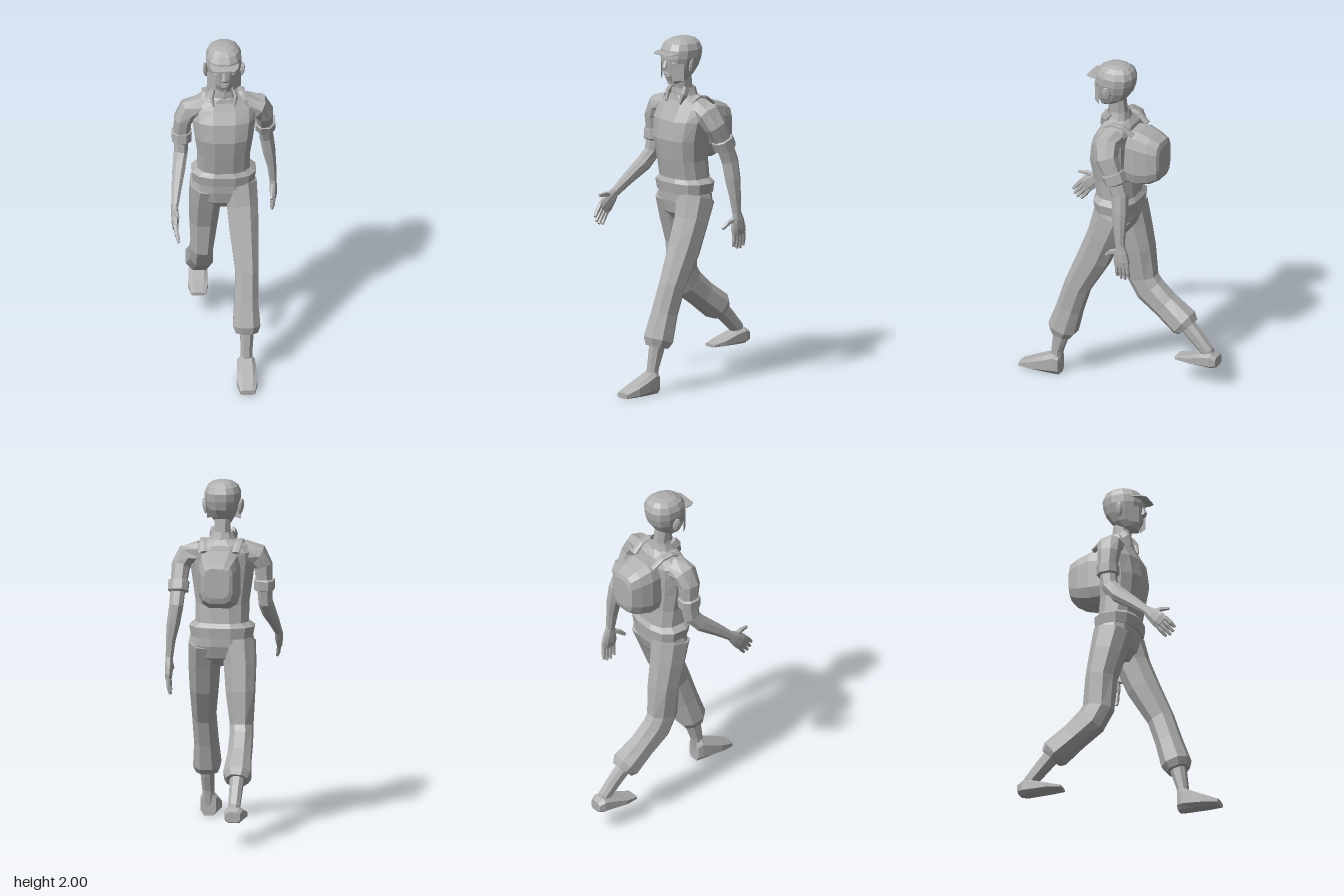
import * as THREE from 'three';

const grey = new THREE.MeshStandardMaterial({ color: 0xb0b0b0, side: THREE.DoubleSide });
grey.name = 'plain grey';
const V = (x, y, z) => new THREE.Vector3(x, y, z);
const UP = V(0, 1, 0), FRONT = V(0, 0, 1);

// Faceted mesh from any geometry
function part(name, geo) {
  const g = geo.index ? geo.toNonIndexed() : geo;
  g.computeVertexNormals();
  const m = new THREE.Mesh(g, grey);
  m.name = name;
  return m;
}

// Skin over rings [x, y, z, halfWidth, halfDepth]; rings follow the path unless an axis is fixed.
// A power below 1 makes the rings squarer.
function loft(name, rings, { n = 8, axis = null, power = 0.85, caps = true } = {}) {
  const pos = [], idx = [], pts = rings.map(r => V(r[0], r[1], r[2])), last = rings.length - 1;
  const fit = Math.cos(Math.PI / n) ** power;
  const bend = v => Math.sign(v) * Math.abs(v) ** power / fit;
  rings.forEach((r, i) => {
    const t = axis ? axis.clone()
      : pts[Math.min(i + 1, last)].clone().sub(pts[Math.max(i - 1, 0)]).normalize();
    const s = V(1, 0, 0).addScaledVector(t, -t.x).normalize();
    const f = s.clone().cross(t);
    for (let j = 0; j < n; j++) {
      const a = (j + 0.5) * 2 * Math.PI / n;
      const p = pts[i].clone().addScaledVector(s, r[3] * bend(Math.cos(a)))
        .addScaledVector(f, r[4] * bend(Math.sin(a)));
      pos.push(p.x, p.y, p.z);
    }
  });
  for (let i = 0; i < last; i++) for (let j = 0; j < n; j++) {
    const a = i * n + j, b = i * n + (j + 1) % n;
    idx.push(a, a + n, b, b, a + n, b + n);
  }
  if (caps) for (let j = 1; j < n - 1; j++) {
    const e = last * n;
    idx.push(0, j, j + 1, e, e + j + 1, e + j);
  }
  const g = new THREE.BufferGeometry();
  g.setAttribute('position', new THREE.Float32BufferAttribute(pos, 3));
  g.setIndex(idx);
  return part(name, g);
}

function blob(name, x, y, z, sx, sy, sz) {
  const g = new THREE.SphereGeometry(1, 8, 6);
  g.scale(sx, sy, sz);
  g.translate(x, y, z);
  return part(name, g);
}

// Flat hand: palm, four fingers and a thumb, laid out along a direction from the wrist
function hand(name, wrist, dir, shift, curl) {
  const group = new THREE.Group();
  group.name = name;
  const t = dir.clone().normalize(), f = V(1, 0, 0).cross(t);
  const at = (along, across, out, a, b) => {
    const p = wrist.clone().addScaledVector(t, along).addScaledVector(f, across);
    return [p.x + out, p.y, p.z, a, b];
  };
  group.add(loft('palm', [at(-0.01, 0, 0, 0.018, 0.024), at(0.04, shift * 0.4, 0, 0.021, 0.038),
    at(0.09, shift * 0.8, 0, 0.02, 0.046), at(0.125, shift, 0, 0.015, 0.042)]));
  for (let k = 0; k < 4; k++) {
    const o = (k - 1.5) * 0.021, len = [0.19, 0.205, 0.207, 0.195][k];
    group.add(loft('finger', [at(0.11, shift + o, 0, 0.012, 0.012),
      at(0.16, shift + o * 1.1, curl * 0.4, 0.011, 0.011),
      at(len, shift + o * 1.15, curl, 0.007, 0.007)], { n: 6 }));
  }
  group.add(loft('thumb', [at(0.03, -0.015, 0, 0.014, 0.016), at(0.045, -0.06, curl * 0.5, 0.012, 0.013),
    at(0.075, -0.1, curl, 0.007, 0.008)], { n: 6 }));
  return group;
}

export function createModel() {
  const model = new THREE.Group();
  model.name = 'walkingFigure';
  const add = (...m) => model.add(...m);

  // Shirt with a flared hem, and the hips below it
  add(loft('shirt', [
    [0, 1.11, -0.005, 0.172, 0.12], [0, 1.17, -0.003, 0.183, 0.127], [0, 1.195, 0, 0.148, 0.113],
    [0, 1.3, 0.015, 0.148, 0.118], [0, 1.42, 0.025, 0.165, 0.127], [0, 1.53, 0.015, 0.18, 0.12],
    [0, 1.6, -0.005, 0.18, 0.1], [0, 1.64, -0.01, 0.14, 0.085], [0, 1.665, 0, 0.08, 0.07],
    [0, 1.68, 0, 0.055, 0.055]], { n: 12, axis: UP, power: 0.8 }));
  add(loft('hips', [[0, 0.94, 0, 0.07, 0.05], [0, 0.99, 0, 0.155, 0.09],
    [0, 1.06, -0.005, 0.185, 0.108], [0, 1.15, -0.005, 0.162, 0.11]], { n: 12, axis: UP }));

  // Trouser legs: left strides forward, right trails behind
  add(loft('leftTrouserLeg', [
    [0.092, 1.08, -0.005, 0.095, 0.105], [0.105, 0.95, 0.04, 0.088, 0.092], [0.113, 0.8, 0.1, 0.08, 0.09],
    [0.125, 0.6, 0.2, 0.065, 0.073], [0.12, 0.45, 0.25, 0.066, 0.073],
    [0.12, 0.305, 0.295, 0.077, 0.081], [0.12, 0.265, 0.305, 0.062, 0.062]]));
  add(loft('rightTrouserLeg', [
    [-0.092, 1.08, -0.005, 0.095, 0.105], [-0.105, 0.95, -0.035, 0.088, 0.095],
    [-0.112, 0.8, -0.07, 0.08, 0.084], [-0.12, 0.61, -0.085, 0.063, 0.086],
    [-0.123, 0.535, -0.13, 0.064, 0.086], [-0.125, 0.455, -0.23, 0.066, 0.077],
    [-0.125, 0.37, -0.345, 0.077, 0.08], [-0.125, 0.345, -0.37, 0.06, 0.062]]));

  // Shins and feet
  add(loft('leftShin', [[0.122, 0.32, 0.295, 0.042, 0.045], [0.12, 0.24, 0.312, 0.037, 0.042],
    [0.118, 0.15, 0.333, 0.033, 0.032], [0.117, 0.06, 0.345, 0.03, 0.03]]));
  add(loft('rightShin', [[-0.128, 0.4, -0.32, 0.042, 0.045], [-0.126, 0.3, -0.42, 0.036, 0.042],
    [-0.125, 0.22, -0.495, 0.033, 0.036], [-0.125, 0.17, -0.515, 0.03, 0.03]]));
  add(loft('leftFoot', [[0.115, 0.06, 0.315, 0.042, 0.06], [0.115, 0.067, 0.345, 0.05, 0.067],
    [0.116, 0.053, 0.4, 0.055, 0.053], [0.117, 0.034, 0.48, 0.058, 0.034],
    [0.117, 0.016, 0.56, 0.042, 0.016]], { axis: FRONT, power: 0.6 }));
  add(loft('rightFoot', [[-0.125, 0.172, -0.56, 0.04, 0.03], [-0.125, 0.178, -0.525, 0.052, 0.046],
    [-0.127, 0.17, -0.46, 0.054, 0.038], [-0.13, 0.156, -0.38, 0.057, 0.022],
    [-0.13, 0.144, -0.3, 0.04, 0.01]], { axis: FRONT, power: 0.6 }));

  // Sleeves, rolled cuffs, forearms and hands: left swings back, right swings forward
  add(loft('leftSleeve', [[0.12, 1.59, -0.015, 0.06, 0.07], [0.2, 1.57, -0.015, 0.06, 0.072],
    [0.232, 1.51, -0.035, 0.05, 0.062], [0.238, 1.42, -0.08, 0.044, 0.05]]));
  add(loft('leftCuff', [[0.238, 1.435, -0.075, 0.05, 0.052], [0.238, 1.43, -0.077, 0.057, 0.06],
    [0.24, 1.378, -0.1, 0.055, 0.06], [0.24, 1.372, -0.102, 0.044, 0.047]]));
  add(loft('leftForearm', [[0.24, 1.4, -0.09, 0.04, 0.045], [0.247, 1.3, -0.128, 0.038, 0.046],
    [0.262, 1.2, -0.135, 0.036, 0.043], [0.277, 1.1, -0.14, 0.026, 0.033],
    [0.285, 0.99, -0.147, 0.019, 0.024]]));
  add(hand('leftHand', V(0.285, 1, -0.147), V(0.02, -1, -0.05), 0.006, -0.012));
  add(loft('rightSleeve', [[-0.12, 1.59, 0.0, 0.06, 0.07], [-0.2, 1.57, 0.015, 0.06, 0.068],
    [-0.232, 1.51, 0.02, 0.05, 0.06], [-0.238, 1.42, 0.015, 0.044, 0.05]]));
  add(loft('rightCuff', [[-0.238, 1.435, 0.015, 0.05, 0.052], [-0.238, 1.43, 0.015, 0.057, 0.06],
    [-0.238, 1.375, 0.018, 0.055, 0.06], [-0.238, 1.368, 0.018, 0.044, 0.047]]));
  add(loft('rightForearm', [[-0.238, 1.4, 0.017, 0.04, 0.045], [-0.243, 1.3, 0.03, 0.038, 0.046],
    [-0.255, 1.235, 0.085, 0.037, 0.044], [-0.273, 1.155, 0.19, 0.028, 0.033],
    [-0.287, 1.08, 0.28, 0.019, 0.024]]));
  add(hand('rightHand', V(-0.287, 1.085, 0.275), V(0.02, -0.78, 0.62), -0.016, 0.015));

  // Neck and head
  add(loft('neck', [[0, 1.65, 0, 0.05, 0.055], [0, 1.71, 0.008, 0.042, 0.05],
    [0, 1.79, 0.02, 0.045, 0.052]], { axis: UP }));
  add(loft('head', [
    [0, 1.737, 0.088, 0.028, 0.024], [0, 1.755, 0.06, 0.048, 0.055], [0, 1.79, 0.045, 0.068, 0.085],
    [0, 1.84, 0.03, 0.086, 0.105], [0, 1.89, 0.025, 0.098, 0.115], [0, 1.935, 0.02, 0.099, 0.115],
    [0, 1.97, 0.017, 0.085, 0.098], [0, 1.99, 0.013, 0.06, 0.07], [0, 2, 0.01, 0.03, 0.035]],
  { n: 12, axis: UP }));

  // Face
  add(loft('nose', [[0, 1.88, 0.132, 0.009, 0.01], [0, 1.84, 0.143, 0.014, 0.018],
    [0, 1.825, 0.138, 0.02, 0.016]], { n: 6, axis: UP }));
  add(blob('upperLip', 0, 1.799, 0.127, 0.028, 0.007, 0.011));
  add(blob('lowerLip', 0, 1.785, 0.124, 0.024, 0.008, 0.01));
  add(loft('brim', [[0, 1.922, 0.1, 0.085, 0.006], [0, 1.918, 0.15, 0.078, 0.005],
    [0, 1.915, 0.18, 0.058, 0.003]], { axis: FRONT }));

  // Mirrored details of the head, collar and straps
  for (const s of [1, -1]) {
    add(blob('eye', s * 0.042, 1.865, 0.124, 0.021, 0.009, 0.008));
    const ear = blob('ear', 0, 0, 0, 0.013, 0.046, 0.025);
    ear.position.set(s * 0.103, 1.846, 0.032);
    ear.rotation.set(0.1, s * 0.35, s * -0.15);
    add(ear);
    const card = part('cheekCard', new THREE.PlaneGeometry(0.068, 0.1));
    card.position.set(s * 0.073, 1.815, 0.108);
    card.rotation.y = s * 0.83;
    add(card);
    add(loft('collarWing', [[s * 0.058, 1.71, 0.035, 0.012, 0.025], [s * 0.068, 1.675, 0.06, 0.012, 0.024],
      [s * 0.058, 1.625, 0.085, 0.006, 0.008]], { n: 6 }));
    add(loft('strap', [[s * 0.105, 1.635, 0.045, 0.02, 0.008], [s * 0.105, 1.665, -0.01, 0.02, 0.008],
      [s * 0.1, 1.655, -0.07, 0.02, 0.008], [s * 0.09, 1.61, -0.13, 0.02, 0.008]], { n: 6 }));
  }
  add(loft('collar', [[0, 1.655, 0, 0.08, 0.068], [0, 1.685, 0.003, 0.068, 0.064],
    [0, 1.71, 0.005, 0.06, 0.06]], { n: 10, axis: UP, caps: false }));

  // Backpack
  add(loft('backpack', [
    [0, 1.46, -0.285, 0.072, 0.085], [0, 1.458, -0.275, 0.09, 0.115], [0, 1.455, -0.22, 0.108, 0.145],
    [0, 1.458, -0.15, 0.12, 0.165], [0, 1.46, -0.07, 0.108, 0.16]],
  { n: 12, axis: FRONT, power: 0.55 }));
  return model;
}
